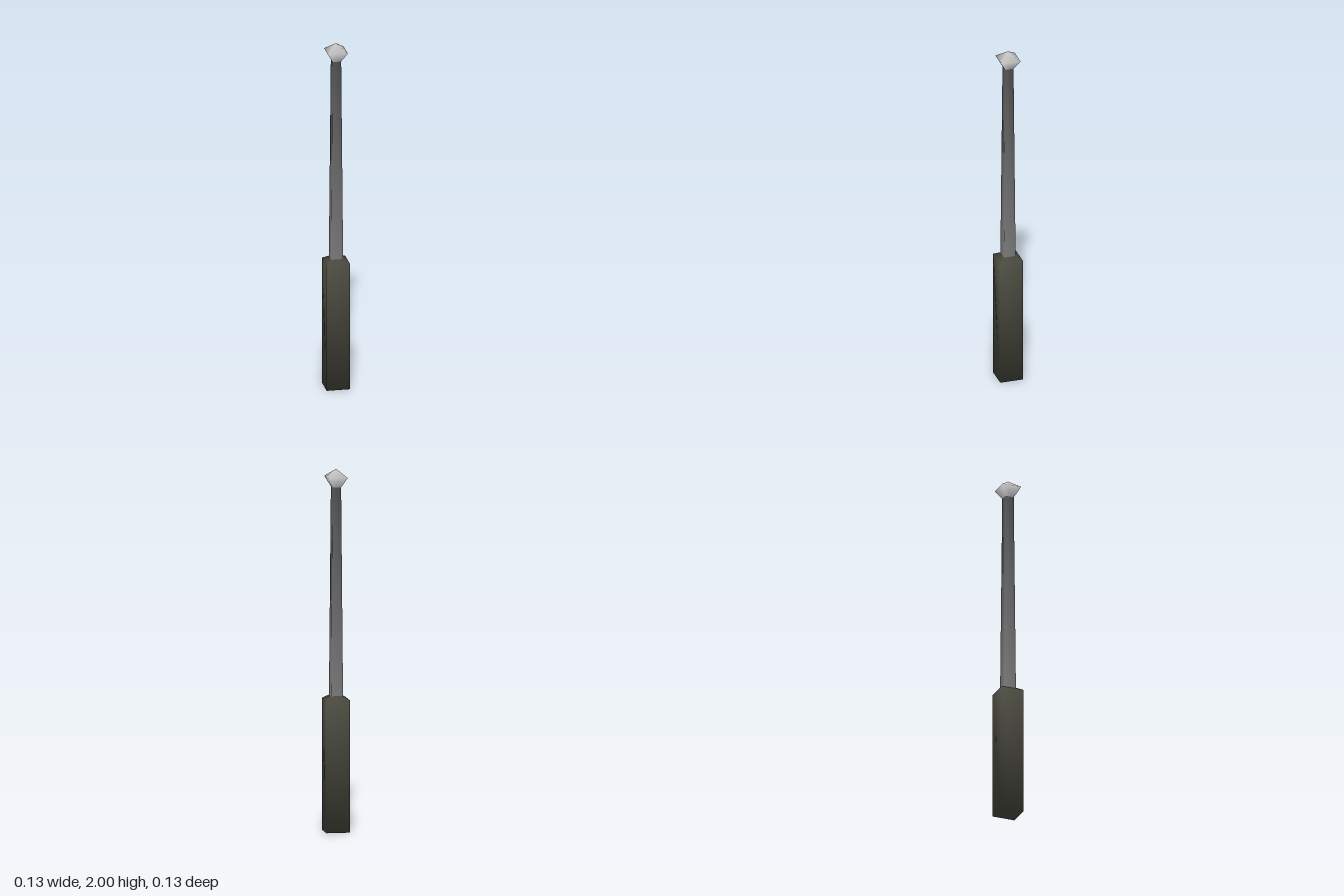
import * as THREE from 'three';

// Square cross-sections from the base to the point: [half width, height]
const profile = [
  [0, 0], [0.065, 0], [0.065, 0.73], [0.033, 0.75],
  [0.024, 1.9], [0.055, 1.955], [0, 2],
];
const corners = [[1, 1], [1, -1], [-1, -1], [-1, 1]];

// Outward normal of the profile segment that starts at ring i
function segmentNormal(i) {
  if (i < 0 || i >= profile.length - 1) return new THREE.Vector2();
  const [r0, y0] = profile[i], [r1, y1] = profile[i + 1];
  return new THREE.Vector2(y1 - y0, r0 - r1).normalize();
}

export function createModel() {
  const group = new THREE.Group();
  const positions = [], normals = [];

  // Corners share smooth normals, so shading flows across the joints
  profile.forEach(([r, y], i) => {
    const n = segmentNormal(i - 1).add(segmentNormal(i));
    for (const [sx, sz] of corners) {
      positions.push(sx * r, y, sz * r);
      const v = r === 0
        ? new THREE.Vector3(0, Math.sign(n.y), 0)
        : new THREE.Vector3(sx * n.x, 2 * n.y, sz * n.x).normalize();
      normals.push(v.x, v.y, v.z);
    }
  });
  const position = new THREE.Float32BufferAttribute(positions, 3);
  const normal = new THREE.Float32BufferAttribute(normals, 3);

  // Skin the rings from first to last as one named part
  function addPart(name, first, last, materialName, color) {
    const index = [];
    for (let i = first; i < last; i++) {
      for (let k = 0; k < 4; k++) {
        const a = i * 4 + k, b = i * 4 + (k + 1) % 4;
        if (profile[i][0] > 0) index.push(a, b, a + 4);
        if (profile[i + 1][0] > 0) index.push(b, b + 4, a + 4);
      }
    }
    const geometry = new THREE.BufferGeometry();
    geometry.setAttribute('position', position);
    geometry.setAttribute('normal', normal);
    geometry.setIndex(index);
    const material = new THREE.MeshStandardMaterial({ color });
    material.name = materialName;
    const mesh = new THREE.Mesh(geometry, material);
    mesh.name = name;
    group.add(mesh);
  }

  addPart('handle', 0, 3, 'dark grip', 0x4a4a40);
  addPart('shaft', 3, 4, 'grey metal', 0x6c6c6c);
  addPart('tip', 4, 6, 'pale metal', 0xcccccc);
  return group;
}
